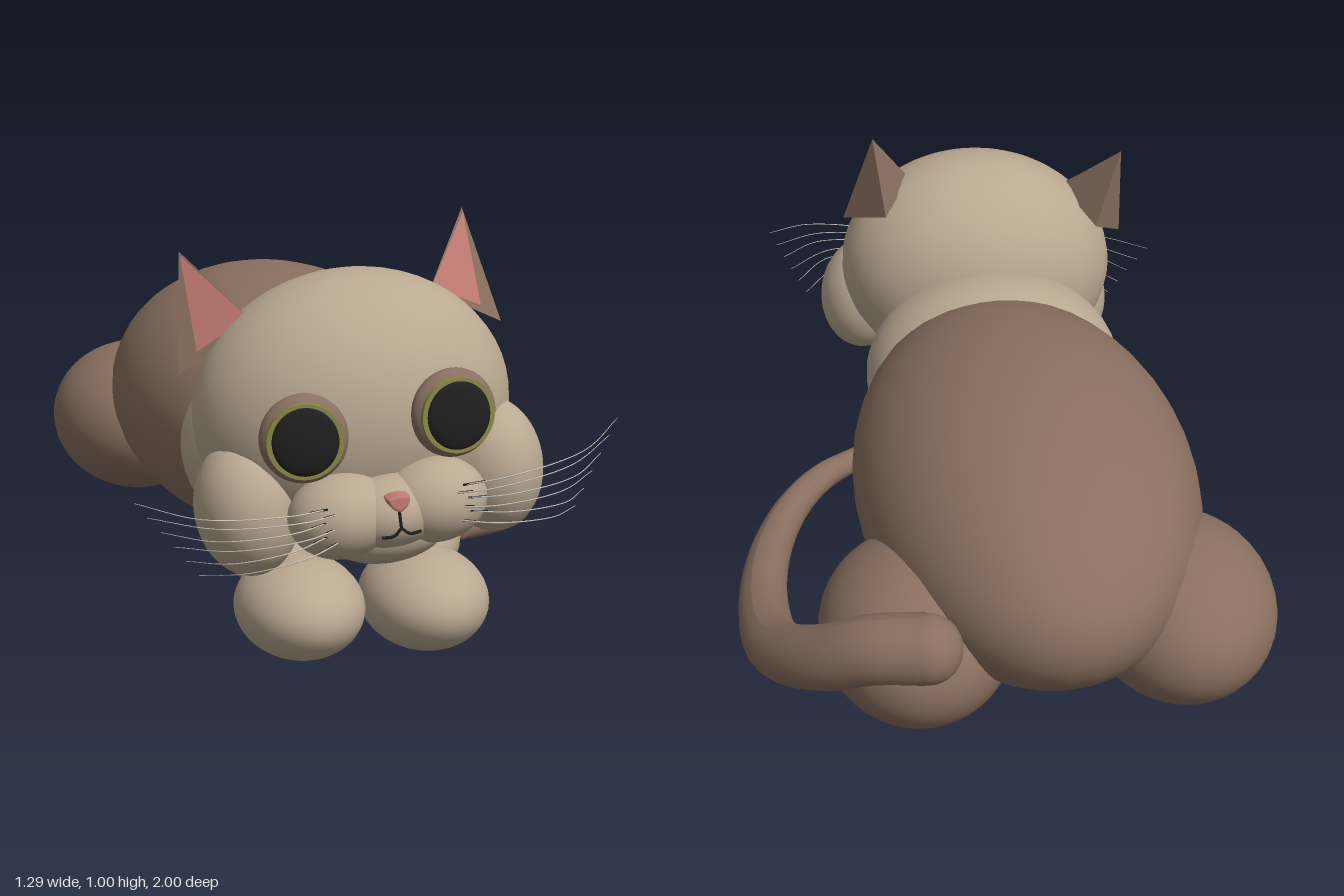
import * as THREE from 'three';

const flat = (name, color, extra = {}) => {
  const m = new THREE.MeshStandardMaterial({ color, ...extra });
  m.name = name;
  return m;
};

export function createModel() {
  const brown = flat('brown fur', 0x8a7060);
  const cream = flat('cream fur', 0xbaa992);
  const pink = flat('pink skin', 0xc47c74, { side: THREE.DoubleSide });
  const black = flat('black', 0x1f1f1f);
  const olive = flat('olive iris', 0x8c8a48);
  const pale = flat('pale whisker', 0xc8c4bc);

  const cat = new THREE.Group();
  cat.name = 'lyingCat';

  const add = (parent, name, geo, mat, pos = [0, 0, 0]) => {
    const m = new THREE.Mesh(geo, mat);
    m.name = name;
    m.position.set(...pos);
    parent.add(m);
    return m;
  };
  const ball = (parent, name, mat, pos, radii) => {
    const m = add(parent, name, new THREE.SphereGeometry(1, 40, 28), mat, pos);
    m.scale.set(...radii);
    return m;
  };
  const vec = (p) => new THREE.Vector3(...p);
  // Tube through points whose radius follows a function of its length (0..1)
  const taperedTube = (points, radiusAt, steps, sides) => {
    const curve = new THREE.CatmullRomCurve3(points.map(vec));
    const geo = new THREE.TubeGeometry(curve, steps, 1, sides);
    const pos = geo.attributes.position;
    const p = new THREE.Vector3();
    for (let i = 0; i < pos.count; i++) {
      const t = Math.floor(i / (sides + 1)) / steps;
      const c = curve.getPointAt(t);
      p.fromBufferAttribute(pos, i).sub(c).multiplyScalar(radiusAt(t)).add(c);
      pos.setXYZ(i, p.x, p.y, p.z);
    }
    geo.computeVertexNormals();
    return geo;
  };

  // Torso and chest
  ball(cat, 'body', brown, [-0.1, 0.39, -0.27], [0.43, 0.34, 0.73]);
  ball(cat, 'chest', cream, [-0.1, 0.39, 0.28], [0.345, 0.27, 0.3]);

  // Legs
  for (const s of [-1, 1]) {
    const side = s > 0 ? 'left' : 'right';
    ball(cat, side + 'Haunch', brown, [-0.1 + s * 0.32, 0.255, -0.655], [0.235, 0.205, 0.29]);
    ball(cat, side + 'Foreleg', cream, [-0.1 + s * 0.18, 0.215, 0.4], [0.12, 0.115, 0.31]);
    ball(cat, side + 'Paw', cream, [-0.1 + s * 0.148, 0.118, 0.715], [0.15, 0.117, 0.195]);
  }

  // Tail curling forward along the left side
  const tailPath = [
    [0.22, 0.36, -0.88], [0.34, 0.34, -0.84], [0.46, 0.26, -0.75], [0.55, 0.18, -0.6],
    [0.575, 0.135, -0.4], [0.55, 0.125, -0.15], [0.47, 0.125, 0.08], [0.38, 0.135, 0.2], [0.27, 0.14, 0.28],
  ];
  const tailRadius = (t) => 0.085 - 0.054 * Math.pow(t, 1.3);
  add(cat, 'tail', taperedTube(tailPath, tailRadius, 64, 20), brown);
  ball(cat, 'tailRoot', brown, tailPath[0], [0.083, 0.083, 0.083]);
  ball(cat, 'tailTip', brown, tailPath[8], [0.031, 0.031, 0.012]);

  // Head, tilted to one side
  const head = new THREE.Group();
  head.name = 'head';
  head.position.set(-0.097, 0.56, 0.6);
  head.rotation.z = 0.117;
  cat.add(head);
  ball(head, 'skull', cream, [0, 0, 0], [0.375, 0.32, 0.28]);
  ball(head, 'muzzle', cream, [0, -0.185, 0.26], [0.13, 0.085, 0.108]);
  ball(head, 'chin', cream, [0, -0.235, 0.22], [0.145, 0.08, 0.11]);

  const triangles = (faces) => {
    const geo = new THREE.BufferGeometry();
    geo.setAttribute('position', new THREE.Float32BufferAttribute(faces.flat(2), 3));
    geo.computeVertexNormals();
    return geo;
  };
  const mix = (a, b, t) => a.map((v, i) => v + (b[i] - v) * t);
  const furDouble = flat('ear fur', 0x8a7060, { side: THREE.DoubleSide });

  for (const s of [-1, 1]) {
    const side = s > 0 ? 'left' : 'right';
    ball(head, side + 'Cheek', cream, [s * 0.29, -0.17, 0.1], [0.122, 0.16, 0.14]);
    ball(head, side + 'MuzzleLobe', cream, [s * 0.107, -0.178, 0.26], [0.122, 0.097, 0.11]);

    // Eye: brown rim, olive iris, black pupil
    const eye = new THREE.Group();
    eye.name = side + 'Eye';
    eye.position.set(s * 0.172, 0.014, 0.265);
    eye.rotation.y = s * 0.1;
    head.add(eye);
    ball(eye, 'eyeRim', brown, [0, 0, 0], [0.1, 0.102, 0.045]);
    const iris = add(eye, 'iris', new THREE.CylinderGeometry(0.086, 0.086, 0.03, 40), olive, [0, 0, 0.02]);
    iris.rotation.x = Math.PI / 2;
    ball(eye, 'pupil', black, [0, 0, 0.034], [0.075, 0.078, 0.016]);

    // Ear: three-sided pyramid with a pink inner panel
    const tip = [s * 0.34, 0.4, -0.1];
    const outer = [s * 0.388, 0.129, -0.03];
    const inner = [s * 0.213, 0.24, 0.01];
    const back = [s * 0.29, 0.197, -0.155];
    const ear = [[tip, outer, inner], [tip, inner, back], [tip, back, outer], [outer, back, inner]];
    const wind = (f) => (s > 0 ? [f[0], f[2], f[1]] : f);
    add(head, side + 'Ear', triangles(ear.map(wind)), furDouble);
    const panel = [mix(tip, mix(outer, inner, 0.5), 0.05), mix(mix(outer, inner, 0.28), tip, 0.07), mix(inner, tip, 0.03)];
    const n = new THREE.Vector3().crossVectors(
      vec(inner).sub(vec(tip)), vec(outer).sub(vec(tip))).normalize();
    if (n.z < 0) n.negate();
    add(head, side + 'InnerEar', triangles([wind(panel)]), pink, n.multiplyScalar(0.004).toArray());

    // Whiskers fanning outward, each with a dark root
    for (let i = 0; i < 6; i++) {
      const f = i / 5;
      const x0 = 0.125 + 0.03 * (i % 2);
      const y0 = -0.205 + 0.075 * f;
      const reach = 0.44 + 0.12 * f;
      const y1 = -0.26 + 0.19 * f;
      const path = [
        [s * x0, y0, 0.35], [s * (x0 + 0.09), mix([y0], [y1], 0.22)[0], 0.393],
        [s * (x0 + reach) * 0.6, mix([y0], [y1], 0.55)[0], 0.37], [s * reach, y1, 0.25],
      ];
      add(head, side + 'Whisker', taperedTube(path, (t) => 0.0018 - 0.001 * t, 16, 5), pale);
      const root = path.slice(0, 2).map(vec);
      add(head, side + 'WhiskerRoot',
        new THREE.TubeGeometry(new THREE.LineCurve3(root[0], root[0].clone().lerp(root[1], 0.5)), 1, 0.0025, 5), black);
    }

    // Half of the mouth
    const smile = new THREE.CatmullRomCurve3(
      [[0, -0.195, 0.373], [s * 0.018, -0.211, 0.371], [s * 0.045, -0.212, 0.366]].map(vec));
    add(head, side + 'Mouth', new THREE.TubeGeometry(smile, 10, 0.0035, 6), black);
  }
  const lip = new THREE.LineCurve3(vec([0, -0.15, 0.37]), vec([0, -0.197, 0.373]));
  add(head, 'lipLine', new THREE.TubeGeometry(lip, 1, 0.0035, 6), black);

  // Small triangular nose
  const nose = new THREE.Shape();
  nose.moveTo(-0.02, 0.01);
  nose.quadraticCurveTo(0, 0.018, 0.02, 0.01);
  nose.quadraticCurveTo(0.018, -0.006, 0, -0.014);
  nose.quadraticCurveTo(-0.018, -0.006, -0.02, 0.01);
  add(head, 'nose', new THREE.ExtrudeGeometry(nose, {
    depth: 0.035, bevelThickness: 0.006, bevelSize: 0.005, bevelSegments: 3,
  }), pink, [0, -0.137, 0.345]);

  return cat;
}
